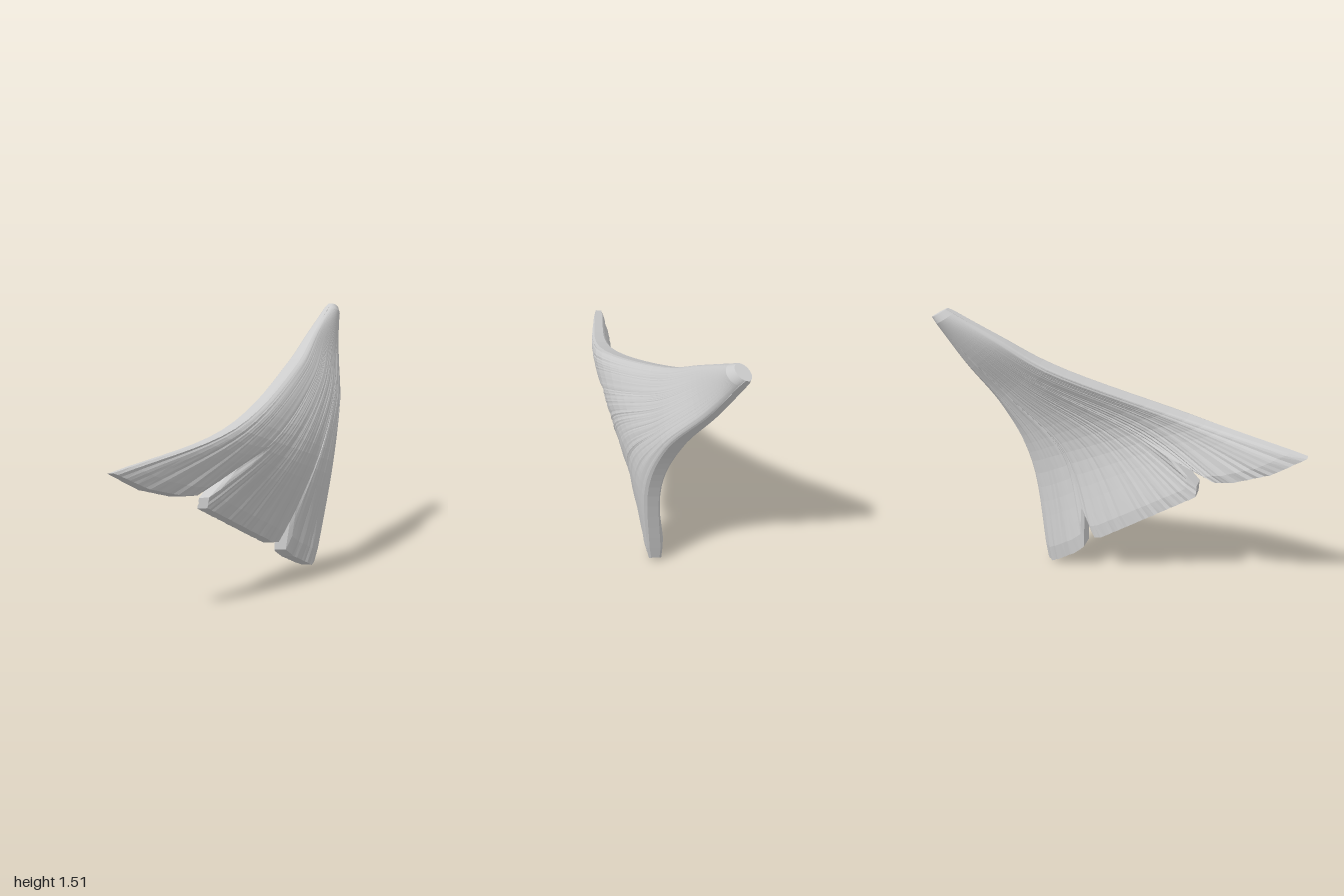
import * as THREE from 'three';

// Stations down the fan: [upper edge point, rear edge point, bulge, half thickness]; points are x, y, z
const STATIONS = [
  [[-0.285, 1.505, -0.915], [-0.315, 1.46, -0.995], 0, 0.055],
  [[-0.17, 1.35, -0.66], [-0.185, 1.2, -0.87], 0, 0.056],
  [[-0.045, 1.19, -0.4], [-0.028, 0.93, -0.725], 0.022, 0.058],
  [[0.268, 0.925, 0.3], [0.06, 0.6, -0.6], 0.03, 0.058],
];
// Lower outline with its two notches: [fan position, x, y, z, half thickness]
const OUTLINE = [
  [0, 0.28, 0.79, 0.995, 0.038],
  [0.1, 0.265, 0.68, 0.8, 0.05],
  [0.18, 0.245, 0.615, 0.6, 0.058],
  [0.25, 0.235, 0.6, 0.5, 0.058],
  [0.31, 0.225, 0.635, 0.4, 0.052],
  [0.335, 0.21, 0.7, 0.25, 0.052],
  [0.36, 0.205, 0.57, 0.4, 0.048],
  [0.4, 0.19, 0.51, 0.4, 0.048],
  [0.74, 0.075, 0.205, -0.14, 0.05],
  [0.77, 0.07, 0.2, -0.18, 0.05],
  [0.785, 0.08, 0.32, -0.25, 0.055],
  [0.8, 0.055, 0.14, -0.24, 0.058],
  [0.85, 0.05, 0.09, -0.3, 0.06],
  [0.97, 0.045, 0.005, -0.46, 0.055],
  [1, 0.045, 0.03, -0.49, 0.058],
];
const ROWS = 28;
const FACE_DIR = new THREE.Vector3(0.96, 0.2, -0.2).normalize();
const lerp = THREE.MathUtils.lerp;

function seeded(seed) {
  return () => {
    seed = (seed * 16807) % 2147483647;
    return seed / 2147483647;
  };
}

// Subdivide the outline into many closely spaced spokes
function spokeEnds() {
  const ends = [];
  for (let k = 0; k < OUTLINE.length - 1; k++) {
    const a = OUTLINE[k], b = OUTLINE[k + 1];
    const steps = Math.max(3, Math.round((b[0] - a[0]) * 90));
    for (let n = 0; n < steps; n++) ends.push(a.map((v, c) => lerp(v, b[c], n / steps)));
  }
  ends.push(OUTLINE[OUTLINE.length - 1]);
  return ends;
}

function spokeCurve([s, x, y, z]) {
  const points = STATIONS.map(([a, b, bulge]) => new THREE.Vector3(
    lerp(a[0], b[0], s) + bulge * 4 * s * (1 - s), lerp(a[1], b[1], s), lerp(a[2], b[2], s)));
  points.push(new THREE.Vector3(x, y, z));
  return new THREE.CatmullRomCurve3(points);
}

// Round section at the stem, flat slab with rounded rims lower down
function halfThickness(s, v, end) {
  const halves = [...STATIONS.map((st) => st[3]), end[4]];
  const t = v * (halves.length - 1), k = Math.min(Math.floor(t), halves.length - 2);
  const oval = Math.sqrt(Math.max(0, 1 - (2 * s - 1) ** 2));
  const rim = Math.min(1, 0.58 + 0.42 * Math.sqrt(Math.min(s, 1 - s) / 0.06));
  const shape = Math.max(0.3, lerp(oval, rim, Math.min(1, v * 2)));
  const cap = v === 0 ? 0.65 : v === 1 ? 0.78 : 1;
  return lerp(halves[k], halves[k + 1], t - k) * shape * cap;
}

function finGeometry() {
  const rand = seeded(4127);
  const ends = spokeEnds(), n = ends.length;
  const curves = ends.map(spokeCurve);
  const ring = [];
  for (let i = 0; i < n; i++) ring.push([i, 1]);
  for (let i = n - 1; i >= 0; i--) ring.push([i, -1]);

  // Closed ring of spokes: outer face forwards, inner face back, with carved grain
  const positions = [], index = [];
  for (const [i, side] of ring) {
    const s = ends[i][0];
    const depth = rand() - 0.6, phase = rand() * 6.28, freq = 8 + rand() * 8;
    for (let j = 0; j <= ROWS; j++) {
      const v = j / ROWS;
      const grain = 0.012 * depth * v * v * (0.6 + 0.4 * Math.sin(v * freq + phase));
      const p = curves[i].getPoint(v);
      p.addScaledVector(FACE_DIR, side * (halfThickness(s, v, ends[i]) + grain));
      positions.push(p.x, Math.max(0, p.y), p.z);
    }
  }
  const id = (r, j) => (r % ring.length) * (ROWS + 1) + j;
  const quad = (a, b, c, d) => index.push(a, b, c, a, c, d);
  for (let r = 0; r < ring.length; r++) {
    for (let j = 0; j < ROWS; j++) quad(id(r, j), id(r, j + 1), id(r + 1, j + 1), id(r + 1, j));
  }
  // Close the cut lower edge and the stem end
  const last = ring.length - 1;
  for (let i = 0; i < n - 1; i++) {
    quad(id(i + 1, ROWS), id(i, ROWS), id(last - i, ROWS), id(last - i - 1, ROWS));
    quad(id(i, 0), id(i + 1, 0), id(last - i - 1, 0), id(last - i, 0));
  }
  const geometry = new THREE.BufferGeometry();
  geometry.setAttribute('position', new THREE.Float32BufferAttribute(positions, 3));
  geometry.setIndex(index);
  geometry.computeVertexNormals();
  return geometry;
}

export function createModel() {
  const group = new THREE.Group();
  group.name = 'carvedFin';
  const grey = new THREE.MeshStandardMaterial({ color: 0xcccccc, flatShading: true });
  grey.name = 'light grey';
  const fin = new THREE.Mesh(finGeometry(), grey);
  fin.name = 'finBlade';
  group.add(fin);
  return group;
}
